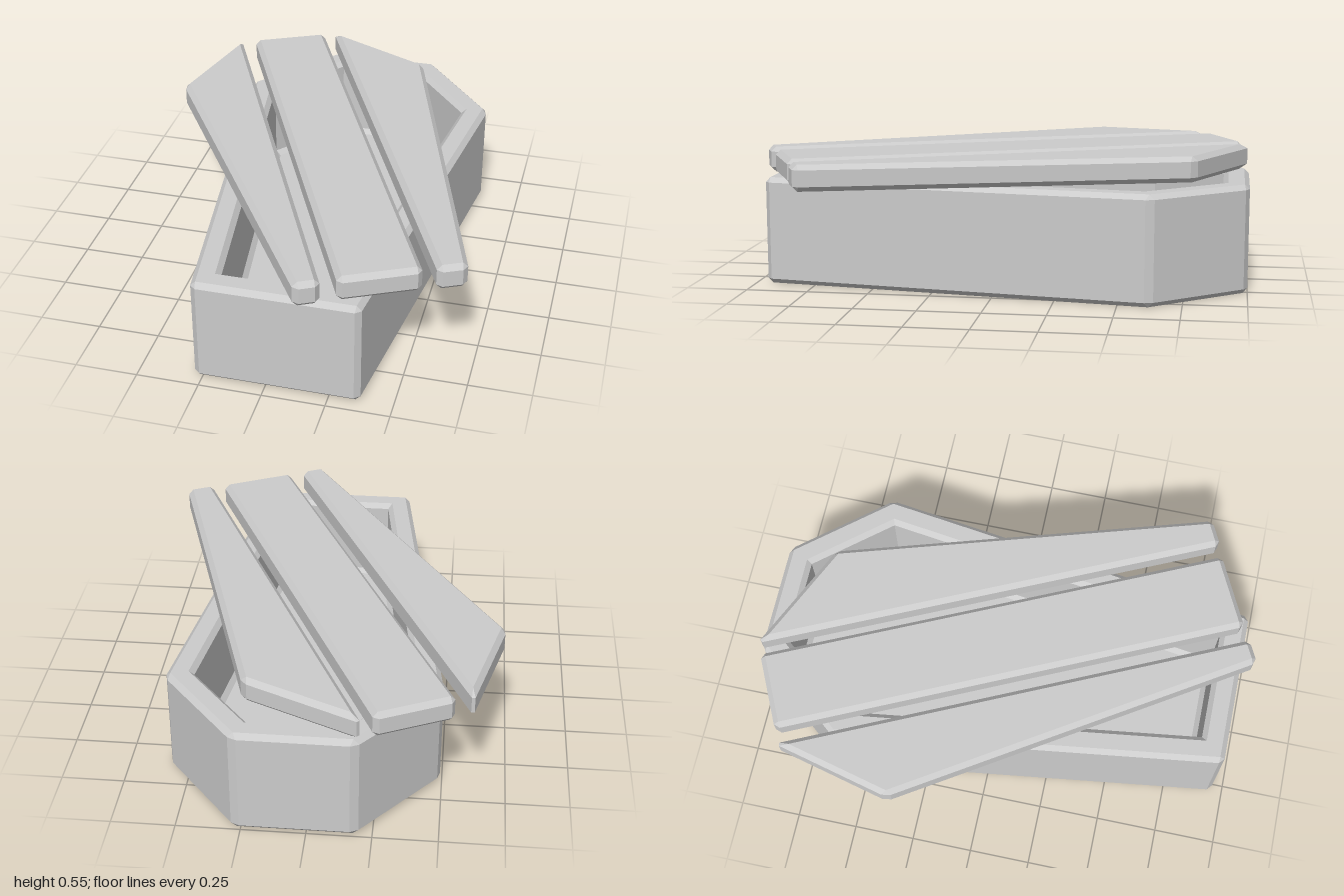
import * as THREE from 'three';

const material = new THREE.MeshStandardMaterial({ color: 0xcccccc, flatShading: true });

// Outline moved inwards by d, two points per corner; cut trims each corner along its edges
function ring(outline, d, y, cut = 0) {
  const pts = outline.map(([x, z]) => new THREE.Vector2(x, z));
  const n = pts.length;
  const out = [];
  pts.forEach((p, i) => {
    const before = p.clone().sub(pts[(i + n - 1) % n]).normalize();
    const after = pts[(i + 1) % n].clone().sub(p).normalize();
    const n1 = new THREE.Vector2(before.y, -before.x);
    const n2 = new THREE.Vector2(after.y, -after.x);
    const q = p.clone().addScaledVector(n1.clone().add(n2), d / (1 + n1.dot(n2)));
    const a = q.clone().addScaledVector(before, -cut);
    const b = q.clone().addScaledVector(after, cut);
    out.push([a.x, y, a.y], [b.x, y, b.y]);
  });
  return out;
}

// Skin through a list of rings, closed by a fan at both ends
function loft(name, rings) {
  const n = rings[0].length;
  const index = [];
  for (let k = 0; k < rings.length - 1; k++) {
    for (let i = 0; i < n; i++) {
      const j = (i + 1) % n;
      const a = k * n + i, b = k * n + j;
      index.push(a, b, b + n, a, b + n, a + n);
    }
  }
  const top = (rings.length - 1) * n;
  for (let i = 1; i < n - 1; i++) {
    index.push(0, i + 1, i, top, top + i, top + i + 1);
  }
  const indexed = new THREE.BufferGeometry();
  indexed.setAttribute('position', new THREE.Float32BufferAttribute(rings.flat(2), 3));
  indexed.setIndex(index);
  const geometry = indexed.toNonIndexed();
  geometry.computeVertexNormals();
  const mesh = new THREE.Mesh(geometry, material);
  mesh.name = name;
  return mesh;
}

export function createModel() {
  const group = new THREE.Group();
  group.name = 'coffin';
  const bevel = 0.02;

  // Hollow six-sided box: outside, rim, inner wall, floor
  const cx = 0.045;
  const half = [[0.325, 0.955], [0.54, -0.625], [0.23, -1.0]];
  const outline = [
    ...half.map(([x, z]) => [cx + x, z]),
    ...half.slice().reverse().map(([x, z]) => [cx - x, z]),
  ];
  group.add(loft('box', [
    ring(outline, bevel, 0),
    ring(outline, 0, bevel, bevel),
    ring(outline, 0, 0.42, bevel),
    ring(outline, bevel, 0.44),
    ring(outline, 0.085, 0.44),
    ring(outline, 0.105, 0.42),
    ring(outline, 0.105, 0.1),
    ring(outline, 0.125, 0.08),
  ]));

  // Lid split into three boards, lying askew on the rim
  const boards = {
    lidBoardRight: [[0.135, 1.01], [0.225, 0.965], [-0.605, -0.82], [-0.725, -0.335]],
    lidBoardMiddle: [[0.28, 0.935], [0.57, 0.795], [-0.25, -0.975], [-0.545, -0.835]],
    lidBoardLeft: [[0.62, 0.78], [0.725, 0.73], [0.26, -0.785], [-0.205, -1.0]],
  };
  for (const [name, shape] of Object.entries(boards)) {
    group.add(loft(name, [
      ring(shape, bevel, 0.44),
      ring(shape, 0, 0.46, bevel),
      ring(shape, 0, 0.525, bevel),
      ring(shape, bevel, 0.545),
    ]));
  }
  return group;
}
